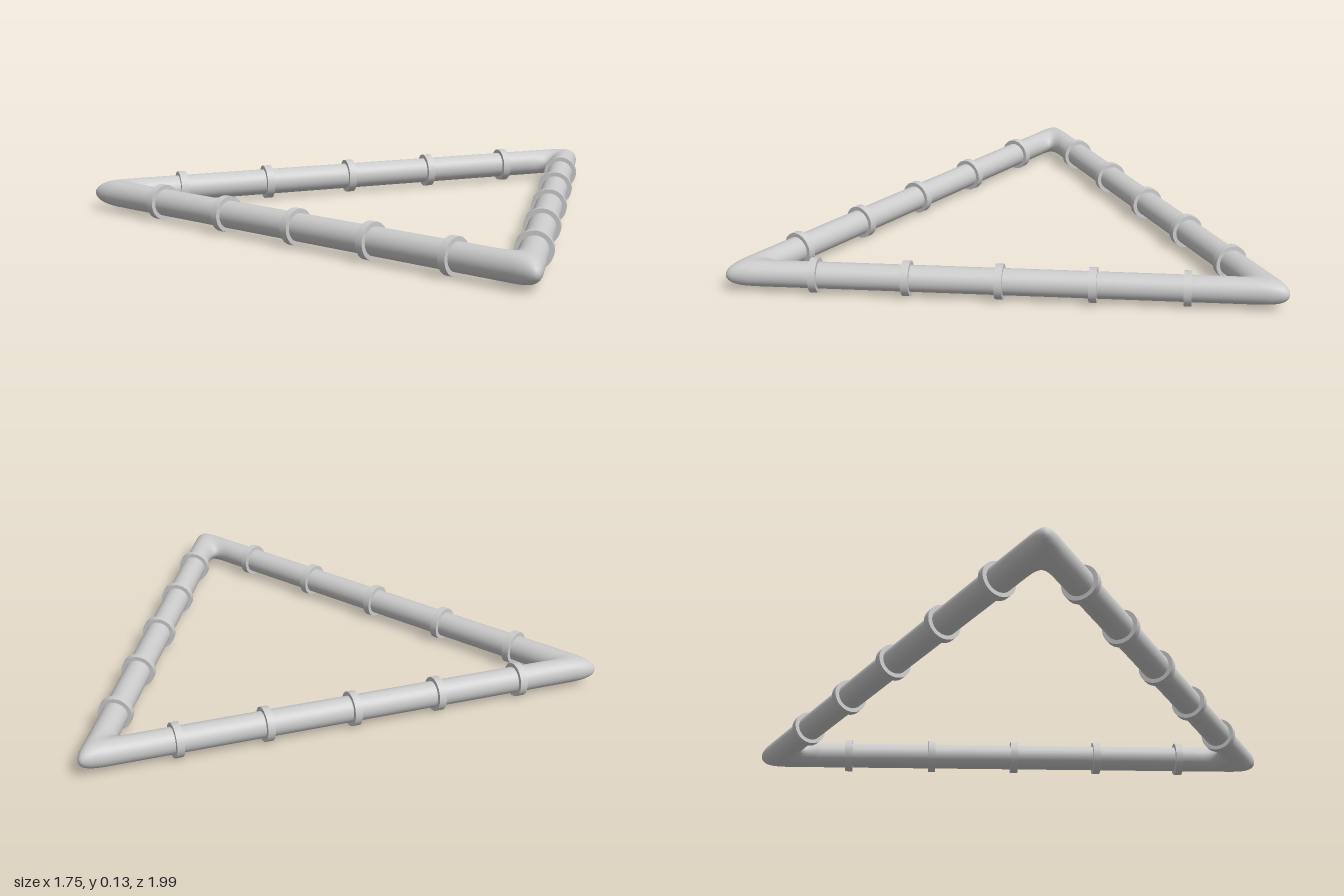
import * as THREE from 'three';

const PIPE = 0.048;      // pipe radius
const BAND = 0.063;      // collar radius
const INR = 0.541;       // distance from triangle centre to each side's axis
const CX = -0.274;       // triangle centre on x
const ROUND = 0.1;       // control spacing of the rounded corners
const grey = new THREE.MeshStandardMaterial({ color: 0xcccccc });

const dir = (a) => new THREE.Vector2(Math.cos(a), Math.sin(a)); // (x, z)

// Closed mitred pipe: every lengthwise line is the same rounded triangle, shifted outwards at the corners
function pipeGeometry(sides = 32, steps = 8) {
  const sections = [];
  for (let k = 0; k < 3; k++) {
    const out = dir((k * 2 * Math.PI) / 3);
    const corner = out.clone().multiplyScalar(2 * INR);
    const arrive = dir((k * 2 * Math.PI) / 3 + Math.PI / 2 - Math.PI / 3);
    const leave = dir((k * 2 * Math.PI) / 3 + Math.PI / 2 + Math.PI / 3);
    const ctrl = [-2, -1, 0, 1, 2].map((i) =>
      corner.clone().addScaledVector(i < 0 ? arrive : leave, i * ROUND));
    // Uniform cubic B-spline through the corner
    for (let s = 0; s <= 2 * steps; s++) {
      const span = s < steps ? 0 : 1;
      const t = s / steps - span;
      const w = [(1 - t) ** 3, 3 * t ** 3 - 6 * t * t + 4, -3 * t ** 3 + 3 * t * t + 3 * t + 1, t ** 3];
      const p = new THREE.Vector2();
      w.forEach((v, i) => p.addScaledVector(ctrl[span + i], v / 6));
      sections.push({ p, out });
    }
  }
  const pos = [], index = [], n = sections.length;
  sections.forEach(({ p, out }, i) => {
    for (let j = 0; j < sides; j++) {
      const a = (j / sides) * Math.PI * 2;
      const d = 2 * PIPE * Math.cos(a);
      pos.push(p.x + out.x * d, PIPE * Math.sin(a), p.y + out.y * d);
      const a0 = i * sides + j, a1 = i * sides + ((j + 1) % sides);
      const b0 = ((i + 1) % n) * sides + j, b1 = ((i + 1) % n) * sides + ((j + 1) % sides);
      index.push(a0, a1, b0, a1, b1, b0);
    }
  });
  const g = new THREE.BufferGeometry();
  g.setAttribute('position', new THREE.Float32BufferAttribute(pos, 3));
  g.setIndex(index);
  g.computeVertexNormals();
  return g;
}

export function createModel() {
  const model = new THREE.Group();
  model.name = 'triangularPipeFrame';
  model.position.set(CX, BAND, 0);

  const pipe = new THREE.Mesh(pipeGeometry(), grey);
  pipe.name = 'pipe';
  model.add(pipe);

  // Five collars along each side; the two slanted rows sit slightly towards the back side
  const collar = new THREE.CylinderGeometry(BAND, BAND, 0.028, 40);
  const sides = [[Math.PI, 0], [Math.PI / 3, 0.017], [-Math.PI / 3, -0.017]];
  sides.forEach(([angle, shift], s) => {
    const row = new THREE.Group();
    row.name = 'collarRow' + (s + 1);
    const normal = dir(angle), along = dir(angle + Math.PI / 2);
    for (let i = -2; i <= 2; i++) {
      const m = new THREE.Mesh(collar, grey);
      m.name = 'collar';
      const p = normal.clone().multiplyScalar(INR).addScaledVector(along, i * 0.331 + shift);
      m.position.set(p.x, 0, p.y);
      m.quaternion.setFromUnitVectors(new THREE.Vector3(0, 1, 0), new THREE.Vector3(along.x, 0, along.y));
      row.add(m);
    }
    model.add(row);
  });

  const root = new THREE.Group();
  root.name = 'model';
  root.add(model);
  return root;
}
